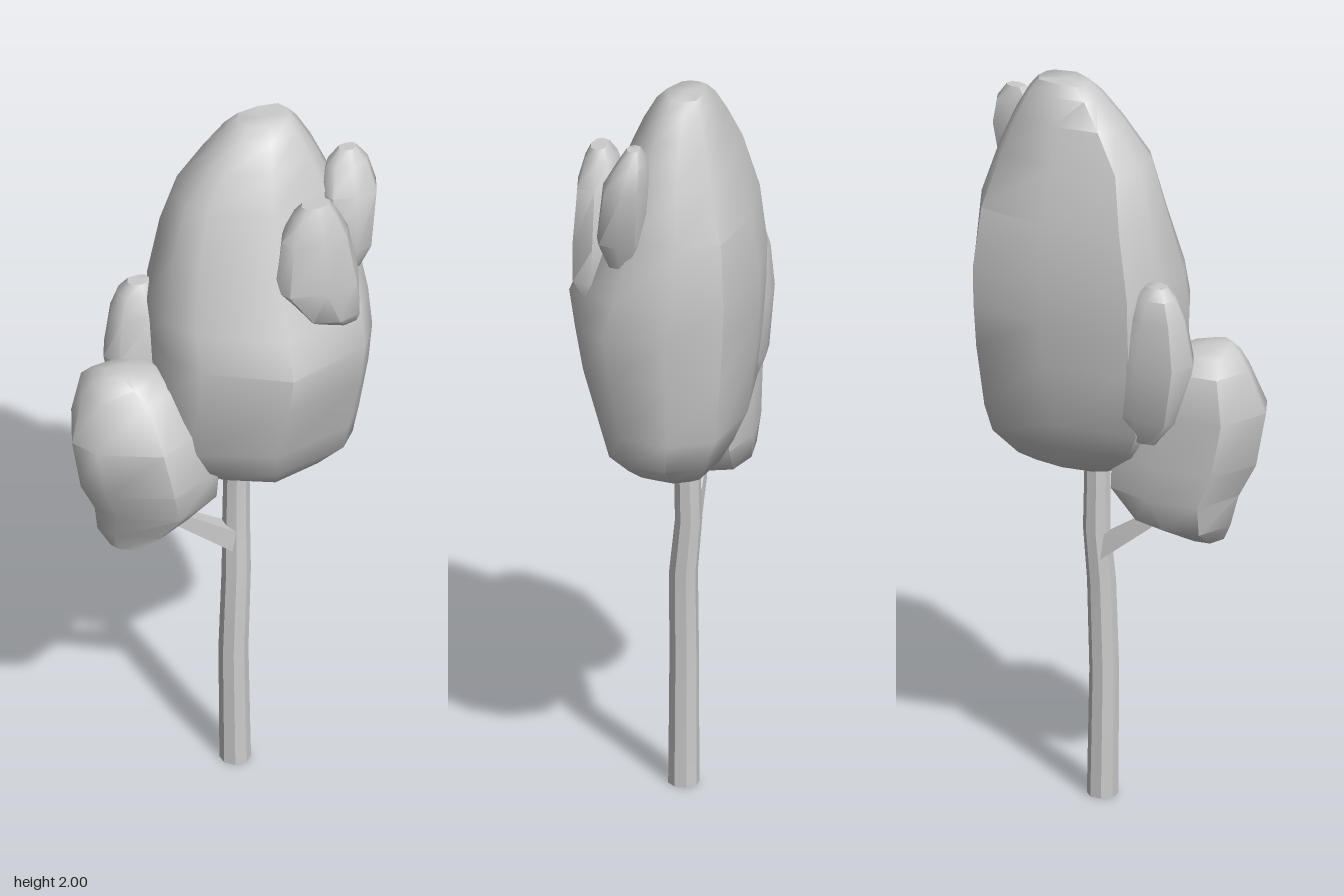
import * as THREE from 'three';
import { toCreasedNormals } from 'three/addons/utils/BufferGeometryUtils.js';

const material = new THREE.MeshStandardMaterial({ color: 0xcccccc, side: THREE.DoubleSide });

// Unit outlines, seen from above: [x, z] running from +x towards +z
const crownOutline = [[1, -0.27], [0.92, 0.38], [0.72, 0.72], [-0.1, 1], [-0.82, 0.5],
  [-1, 0.12], [-1, -0.38], [-0.83, -0.85], [0, -1], [0.78, -0.82]];
const lowerOutline = [[1, -0.1], [0.75, 0.55], [0, 1], [-0.8, 0.5], [-1, 0],
  [-0.7, -0.9], [0.1, -1], [0.8, -0.75]];
const clumpOutline = [[1, -0.1], [0.75, 0.75], [0, 1], [-0.8, 0.65], [-1, 0],
  [-0.75, -0.85], [0.1, -1], [0.8, -0.75]];

// Skin a stack of rings; each ring is [y, xMin, xMax, zMin, zMax], bottom to top
function clumpGeometry(outline, rings) {
  const n = outline.length, positions = [], index = [];
  for (const [y, x0, x1, z0, z1] of rings) {
    for (const [u, v] of outline) {
      positions.push((x0 + x1) / 2 + u * (x1 - x0) / 2, y, (z0 + z1) / 2 + v * (z1 - z0) / 2);
    }
  }
  for (const [y, x0, x1, z0, z1] of [rings[0], rings[rings.length - 1]]) {
    positions.push((x0 + x1) / 2, y, (z0 + z1) / 2);
  }
  const bottom = rings.length * n, top = bottom + 1, last = (rings.length - 1) * n;
  for (let j = 0; j < n; j++) {
    const k = (j + 1) % n;
    for (let i = 0; i < last; i += n) {
      index.push(i + j, i + n + j, i + k, i + k, i + n + j, i + n + k);
    }
    index.push(bottom, j, k, top, last + k, last + j);
  }
  const geometry = new THREE.BufferGeometry();
  geometry.setAttribute('position', new THREE.Float32BufferAttribute(positions, 3));
  geometry.setIndex(index);
  return toCreasedNormals(geometry, 0.9);
}

// Skin a faceted limb along nodes [x, y, z, radius]; upright limbs keep level rings
function limbGeometry(nodes, sides, level) {
  const positions = [], index = [];
  const up = new THREE.Vector3(0, 1, 0);
  const first = new THREE.Vector3(...nodes[0]), end = new THREE.Vector3(...nodes[nodes.length - 1]);
  const turn = new THREE.Quaternion();
  if (!level) turn.setFromUnitVectors(up, end.sub(first).normalize());
  nodes.forEach(([x, y, z, r], i) => {
    for (let j = 0; j < sides; j++) {
      const a = (j + 0.5) / sides * Math.PI * 2;
      const p = new THREE.Vector3(Math.cos(a) * r, 0, Math.sin(a) * r).applyQuaternion(turn);
      positions.push(x + p.x, y + p.y, z + p.z);
      if (i === 0) continue;
      const k = (j + 1) % sides, lo = (i - 1) * sides, hi = i * sides;
      index.push(lo + j, hi + j, lo + k, lo + k, hi + j, hi + k);
    }
  });
  const geometry = new THREE.BufferGeometry();
  geometry.setAttribute('position', new THREE.Float32BufferAttribute(positions, 3));
  geometry.setIndex(index);
  return toCreasedNormals(geometry, 0.5);
}

export function createModel() {
  const tree = new THREE.Group();
  tree.name = 'tree';
  const add = (name, geometry) => {
    const mesh = new THREE.Mesh(geometry, material);
    mesh.name = name;
    tree.add(mesh);
  };

  // Slightly bent trunk and one side branch
  add('trunk', limbGeometry([
    [0.054, 0, -0.037, 0.041], [0.049, 0.35, -0.037, 0.039], [0.057, 0.6, -0.037, 0.038],
    [0.063, 0.75, -0.052, 0.036], [0.063, 1.05, -0.045, 0.033]], 8, true));
  add('branch', limbGeometry([
    [0.06, 0.69, -0.045, 0.04], [-0.1, 0.805, -0.04, 0.026], [-0.2, 0.88, -0.03, 0.018]], 4, false));

  // Tall main crown
  add('mainCrown', clumpGeometry(crownOutline, [
    [0.925, 0.03, 0.24, -0.11, 0.04],
    [0.95, -0.04, 0.29, -0.15, 0.1],
    [1.01, -0.13, 0.37, -0.185, 0.15],
    [1.09, -0.175, 0.385, -0.22, 0.18],
    [1.26, -0.165, 0.4, -0.245, 0.235],
    [1.38, -0.165, 0.405, -0.255, 0.26],
    [1.48, -0.165, 0.405, -0.255, 0.22],
    [1.65, -0.13, 0.38, -0.235, 0.15],
    [1.8, -0.09, 0.33, -0.19, 0.1],
    [1.9, -0.015, 0.285, -0.16, 0.055],
    [1.97, 0.045, 0.245, -0.135, 0.015],
    [2.0, 0.08, 0.22, -0.115, -0.015]]));

  // Low clump on the branch
  add('lowerClump', clumpGeometry(lowerOutline, [
    [0.78, -0.3, -0.19, -0.08, 0.02],
    [0.83, -0.33, -0.07, -0.16, 0.06],
    [0.91, -0.345, 0.01, -0.175, 0.11],
    [1.0, -0.39, 0.015, -0.17, 0.13],
    [1.15, -0.417, -0.03, -0.17, 0.14],
    [1.27, -0.38, -0.1, -0.15, 0.07],
    [1.31, -0.35, -0.18, -0.11, 0.04],
    [1.33, -0.32, -0.25, -0.06, 0.01]]));

  // Clump tucked behind the crown
  add('rearClump', clumpGeometry(clumpOutline, [
    [1.07, -0.18, -0.1, -0.18, -0.12],
    [1.14, -0.24, -0.05, -0.21, -0.08],
    [1.3, -0.272, -0.04, -0.22, -0.07],
    [1.42, -0.25, -0.08, -0.21, -0.09],
    [1.48, -0.225, -0.11, -0.195, -0.11],
    [1.51, -0.2, -0.14, -0.175, -0.13]]));

  // Two small clumps high on the front and the left side
  add('frontClump', clumpGeometry(clumpOutline, [
    [1.46, 0.22, 0.32, 0.11, 0.18],
    [1.5, 0.16, 0.325, 0.09, 0.215],
    [1.6, 0.085, 0.325, 0.08, 0.22],
    [1.75, 0.105, 0.295, 0.09, 0.21],
    [1.82, 0.14, 0.26, 0.11, 0.19],
    [1.85, 0.16, 0.24, 0.13, 0.175]]));
  add('sideClump', clumpGeometry(clumpOutline, [
    [1.57, 0.29, 0.36, 0.03, 0.1],
    [1.64, 0.26, 0.39, 0.0, 0.13],
    [1.8, 0.26, 0.417, -0.01, 0.11],
    [1.87, 0.285, 0.4, -0.005, 0.07],
    [1.91, 0.32, 0.37, 0.01, 0.045]]));

  return tree;
}
